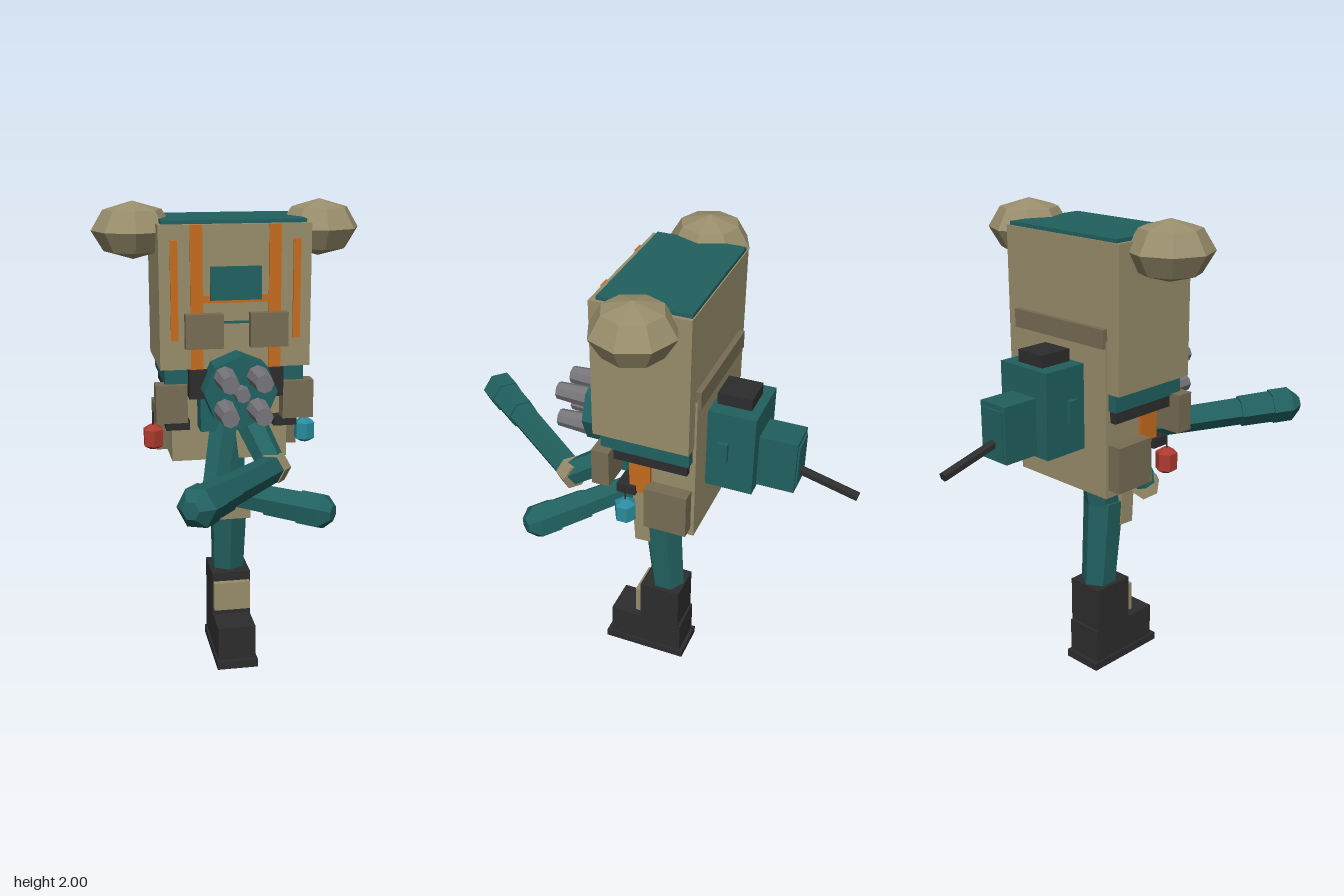
import * as THREE from 'three';

const mat = (name, color) => {
  const m = new THREE.MeshStandardMaterial({ color });
  m.name = name;
  m.flatShading = true;
  return m;
};

export function createModel() {
  const model = new THREE.Group();
  const tan = mat('tan', 0x998e6c), khaki = mat('khaki', 0x776d54), teal = mat('teal', 0x216160);
  const orange = mat('orange', 0xc66c1e), dark = mat('charcoal', 0x2d2d2d), grey = mat('gunmetal', 0x75757a);
  const cyan = mat('cyan', 0x2b8c9e), red = mat('red', 0xae3a2e);

  const add = (name, geo, m, parent = model) => {
    const mesh = new THREE.Mesh(geo, m);
    mesh.name = name;
    parent.add(mesh);
    return mesh;
  };
  // Box given by its limits on each axis
  const box = (name, m, x0, x1, y0, y1, z0, z1) => {
    const b = add(name, new THREE.BoxGeometry(x1 - x0, y1 - y0, z1 - z0), m);
    b.position.set((x0 + x1) / 2, (y0 + y1) / 2, (z0 + z1) / 2);
    return b;
  };
  const pair = (name, m, x0, x1, ...rest) => {
    box(name + 'Left', m, x0, x1, ...rest);
    box(name + 'Right', m, -x1, -x0, ...rest);
  };
  // Tapered prism between two points
  const rod = (name, m, a, b, ra, rb, sides = 6) => {
    const p = new THREE.Vector3(...a), q = new THREE.Vector3(...b), d = q.clone().sub(p);
    const r = add(name, new THREE.CylinderGeometry(rb, ra, d.length(), sides), m);
    r.position.copy(p).add(q).multiplyScalar(0.5);
    r.quaternion.setFromUnitVectors(new THREE.Vector3(0, 1, 0), d.normalize());
    return r;
  };

  // Upper hull and lid
  box('hull', tan, -0.31, 0.31, 1.34, 1.92, -0.315, 0.085);
  box('lid', teal, -0.295, 0.295, 1.92, 1.935, -0.31, 0.06);
  box('waistBand', teal, -0.29, 0.29, 1.27, 1.34, -0.31, 0.06);
  box('waistGasket', dark, -0.28, 0.28, 1.22, 1.27, -0.3, 0.05);

  // Low-poly pods on the upper corners
  for (const s of [1, -1]) {
    const pod = add(s > 0 ? 'podLeft' : 'podRight', new THREE.SphereGeometry(0.17, 8, 4), tan);
    pod.scale.y = 0.69;
    pod.position.set(s * 0.39, 1.883, -0.125);
  }

  // Hull front details
  pair('wideStripe', orange, 0.135, 0.185, 1.34, 1.92, 0.085, 0.092);
  pair('narrowStripe', orange, 0.235, 0.265, 1.46, 1.86, 0.085, 0.094);
  box('crossStripe', orange, -0.135, 0.135, 1.61, 1.64, 0.085, 0.091);
  box('screen', teal, -0.105, 0.105, 1.62, 1.755, 0.085, 0.094);
  box('thinLine', teal, -0.06, 0.06, 1.525, 1.535, 0.085, 0.09);
  pair('chestPouch', khaki, 0.055, 0.21, 1.43, 1.57, 0.085, 0.125);

  // Backpack, side pockets and fittings
  box('backpack', tan, -0.25, 0.25, 0.905, 1.55, -0.324, -0.06);
  box('backRail', khaki, -0.25, 0.25, 1.52, 1.595, -0.338, -0.315);
  pair('sidePocket', khaki, 0.25, 0.31, 0.94, 1.13, -0.31, -0.13);
  pair('hipPouch', khaki, 0.2, 0.33, 1.115, 1.275, 0.01, 0.085);
  pair('strap', orange, 0.235, 0.265, 1.07, 1.28, -0.14, -0.05);
  pair('clip', dark, 0.18, 0.28, 1.06, 1.1, -0.08, 0);
  box('pelvis', teal, -0.14, 0.14, 1.06, 1.24, -0.1, 0.04);

  // Hanging lanterns
  for (const [s, m] of [[1, cyan], [-1, red]]) {
    const side = s > 0 ? 'Left' : 'Right', x = s * 0.33;
    rod('lantern' + side, m, [x, 0.985, -0.06], [x, 1.055, -0.06], 0.045, 0.045);
    rod('lanternCap' + side, m, [x, 1.055, -0.06], [x, 1.075, -0.06], 0.045, 0.015);
    rod('lanternBase' + side, m, [x, 0.97, -0.06], [x, 0.985, -0.06], 0.02, 0.045);
    rod('lanternWire' + side, dark, [x, 1.07, -0.06], [x, 1.13, -0.06], 0.004, 0.004, 4);
  }

  // Front gun cluster
  box('gunMount', dark, -0.195, 0.195, 1.22, 1.34, 0.04, 0.11);
  rod('gunHousing', teal, [0, 1.265, 0.06], [0, 1.265, 0.21], 0.15, 0.15, 8);
  rod('centreBarrel', grey, [0, 1.265, 0.2], [0, 1.265, 0.26], 0.035, 0.03, 8);
  for (const x of [-0.067, 0.067]) for (const y of [-0.067, 0.067])
    rod('gunBarrel', grey, [x, 1.265 + y, 0.2], [x, 1.265 + y, 0.35], 0.046, 0.037, 8);

  // Rear turret
  box('turretBody', teal, -0.13, 0.13, 1.09, 1.44, -0.52, -0.324);
  box('turretSnout', teal, -0.07, 0.07, 1.1, 1.33, -0.675, -0.52);
  box('snoutPlate', teal, -0.055, 0.055, 1.12, 1.31, -0.682, -0.675);
  box('turretHatch', dark, -0.068, 0.068, 1.44, 1.49, -0.482, -0.34);
  pair('turretKnob', teal, 0.13, 0.148, 1.22, 1.31, -0.415, -0.375);
  rod('rearBarrel', dark, [0, 1.175, -0.66], [0, 1.105, -0.92], 0.02, 0.02);

  // Single leg with knee pad
  rod('thigh', teal, [0, 1.02, -0.13], [0, 0.73, -0.1], 0.085, 0.075);
  rod('shin', teal, [0, 0.76, -0.09], [0, 0.36, -0.125], 0.088, 0.075);
  box('kneePad', tan, -0.08, 0.08, 0.65, 0.81, -0.06, 0.01).rotation.x = 0.06;

  // Boot
  box('ankle', dark, -0.085, 0.085, 0.18, 0.385, -0.205, -0.02);
  box('foot', dark, -0.083, 0.083, 0.035, 0.185, -0.215, 0.125);
  box('sole', dark, -0.09, 0.09, 0, 0.035, -0.23, 0.15);
  box('bootPlate', tan, -0.08, 0.08, 0.215, 0.345, -0.02, 0.005);

  // Bent arms: upper arm, elbow pad, forearm, cuff and faceted fist
  const arm = (side, shoulder, elbow, fist) => {
    const mix = t => elbow.map((e, i) => e + (fist[i] - e) * t);
    const e = new THREE.Vector3(...elbow);
    const len = e.distanceTo(new THREE.Vector3(...fist));
    rod('upperArm' + side, teal, shoulder, elbow, 0.068, 0.058);
    rod('elbowPad' + side, tan, mix(-0.035 / len), mix(0.03 / len), 0.064, 0.064);
    rod('forearm' + side, teal, elbow, mix(1 - 0.15 / len), 0.058, 0.063);
    rod('cuff' + side, teal, mix(1 - 0.22 / len), mix(1 - 0.06 / len), 0.07, 0.072);
    rod('fist' + side, teal, mix(1 - 0.07 / len), mix(1 + 0.02 / len), 0.078, 0.078);
    rod('knuckles' + side, teal, mix(1 + 0.02 / len), mix(1 + 0.065 / len), 0.078, 0.035);
  };
  arm('Left', [0.05, 1.15, -0.03], [0.12, 0.965, 0.28], [-0.265, 1.025, 0.835]);
  arm('Right', [-0.02, 1.15, -0.03], [-0.09, 0.81, 0.07], [0.29, 0.8, 0.36]);

  return model;
}
